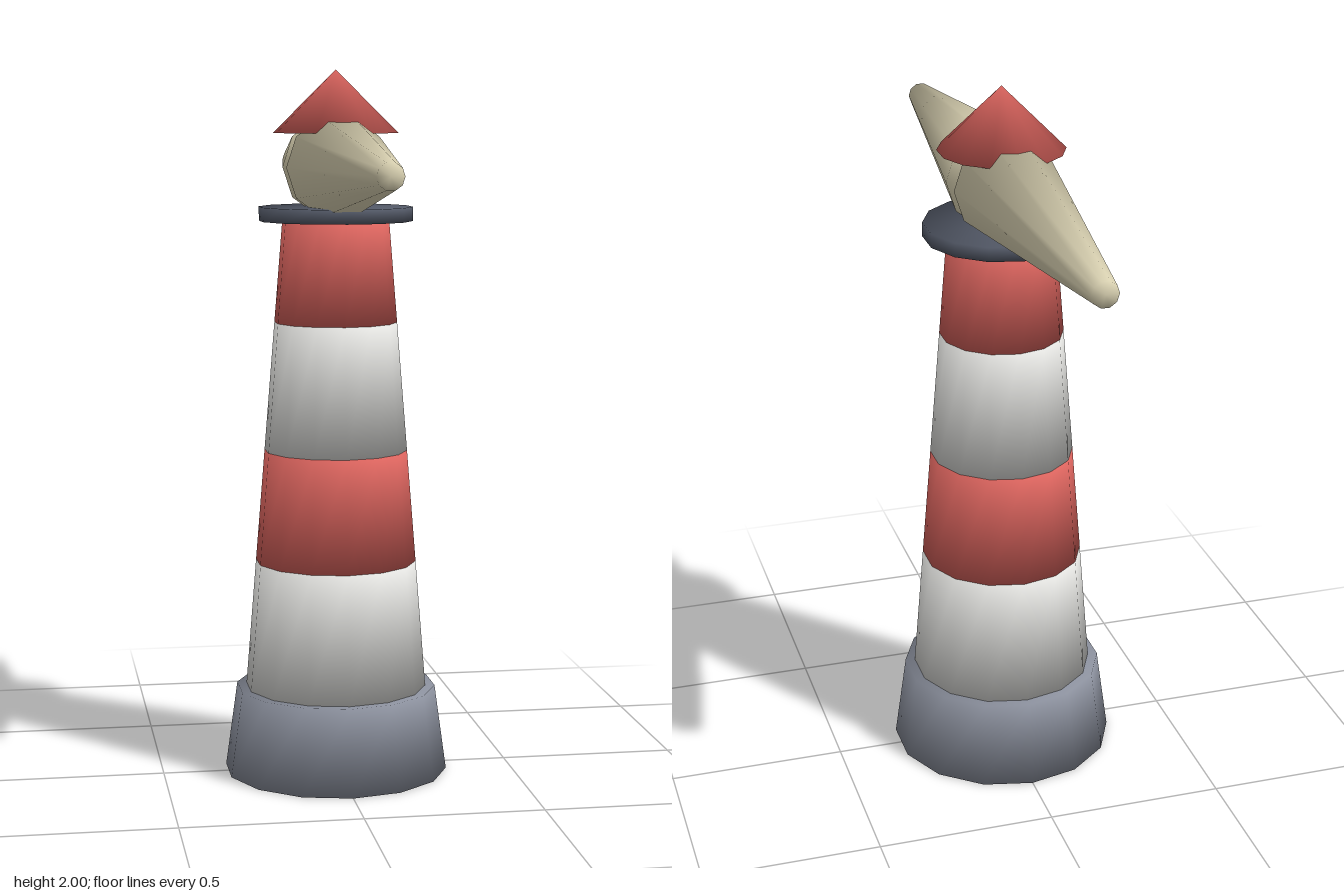
import * as THREE from 'three';

const SIDES = 14;

const flat = (name, color, side = THREE.FrontSide) => {
  const m = new THREE.MeshStandardMaterial({ color, side });
  m.name = name;
  return m;
};

// Closed tapered drum whose normals blend smoothly from the side into both caps
function softDrum(bottomRadius, topRadius, height, sides = SIDES) {
  const g = new THREE.CylinderGeometry(topRadius, bottomRadius, height, sides, 1);
  const p = g.attributes.position;
  const n = g.attributes.normal;
  const slope = (bottomRadius - topRadius) / height;
  const len = Math.hypot(1, slope);
  const v = new THREE.Vector3();
  for (let i = 0; i < p.count; i++) {
    const x = p.getX(i), z = p.getZ(i), r = Math.hypot(x, z);
    const up = Math.sign(p.getY(i));
    if (r < 1e-5) v.set(0, up, 0);
    else v.set(x / r / len, slope / len + up, z / r / len).normalize();
    n.setXYZ(i, v.x, v.y, v.z);
  }
  return g;
}

export function createModel() {
  const model = new THREE.Group();
  model.name = 'lighthouse';

  const red = flat('red paint', 0xdb645e);
  const white = flat('white paint', 0xe2e2df);
  const stone = flat('grey stone', 0x8a8f9c);
  const iron = flat('dark iron', 0x535967);
  const light = flat('pale light', 0xdcd4b4);

  // Upright part between two heights
  const addUpright = (name, material, y0, y1, r0, r1) => {
    const mesh = new THREE.Mesh(softDrum(r0, r1, y1 - y0), material);
    mesh.name = name;
    mesh.position.y = (y0 + y1) / 2;
    model.add(mesh);
  };

  addUpright('base', stone, 0, 0.245, 0.32, 0.286);

  // Striped tower, tapering evenly
  const levels = [0.245, 0.61, 0.93, 1.295, 1.58];
  const towerRadius = (y) => 0.259 - (y - 0.245) * 0.081;
  for (let i = 0; i < 4; i++) {
    addUpright('towerBand' + (i + 1), i % 2 ? red : white, levels[i], levels[i + 1],
      towerRadius(levels[i]), towerRadius(levels[i + 1]));
  }

  addUpright('gallery', iron, 1.58, 1.62, 0.217, 0.217);
  addUpright('lantern', light, 1.62, 1.83, 0.08, 0.08);
  addUpright('roof', red, 1.825, 2, 0.176, 0);

  // Two light beams, wide at the lantern and narrow at the far end
  const inner = 0.04, outer = 0.868;
  for (const s of [1, -1]) {
    const g = softDrum(0.145, 0.036, outer - inner, 10);
    g.rotateY(Math.PI / 2);
    g.rotateX(s * Math.PI / 2);
    const beam = new THREE.Mesh(g, light);
    beam.name = s > 0 ? 'frontBeam' : 'backBeam';
    beam.position.set(0, 1.73, s * (inner + outer) / 2);
    model.add(beam);
  }

  return model;
}
